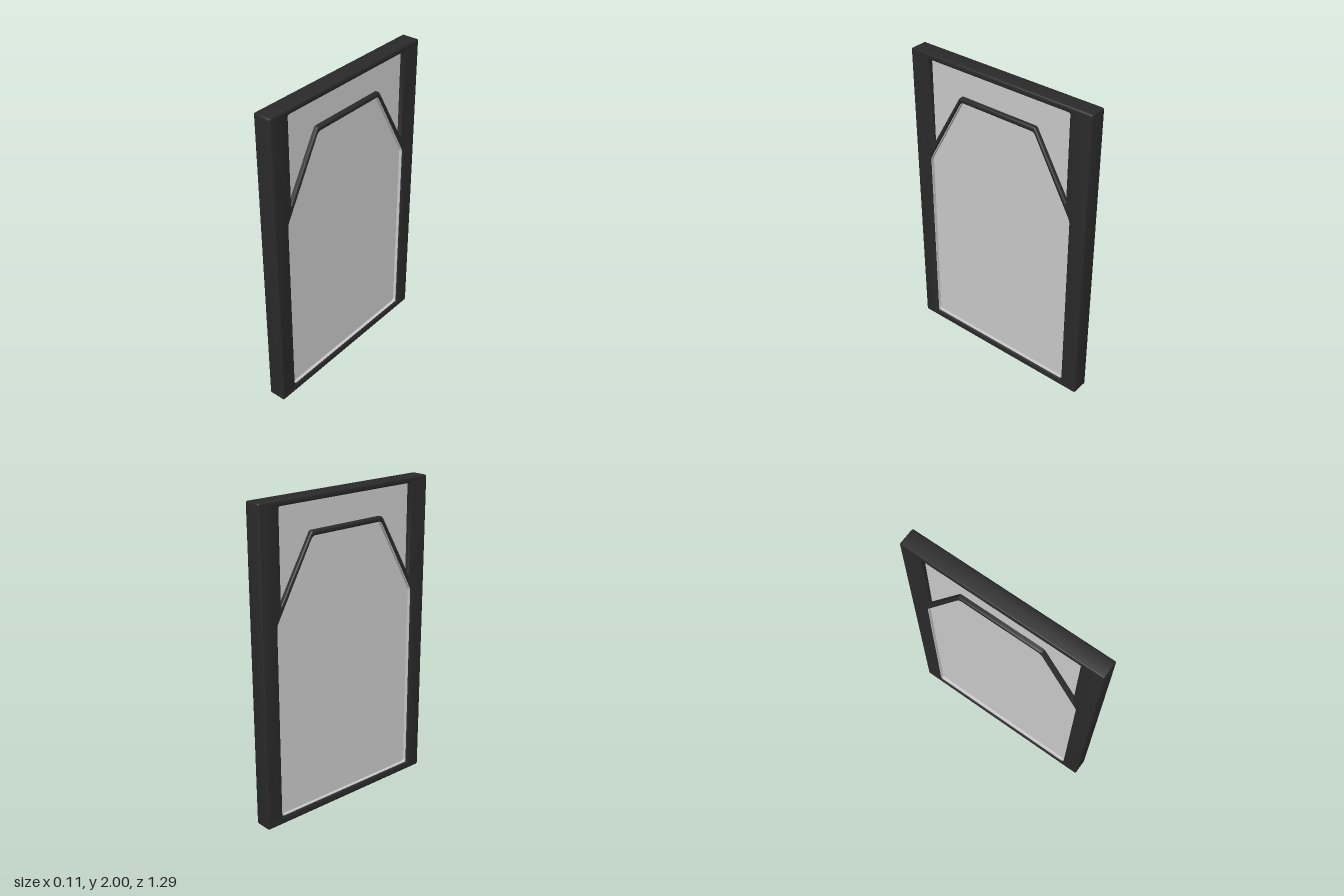
import * as THREE from 'three';
import { toCreasedNormals } from 'three/addons/utils/BufferGeometryUtils.js';

const DEPTH = 0.114;

// Closed outline through [z, y] corners, each corner rounded by r
function outline(points, r, Type = THREE.Shape) {
  const path = new Type();
  const pts = points.map(([z, y]) => new THREE.Vector2(z, y));
  pts.forEach((p, i) => {
    const prev = pts[(i + pts.length - 1) % pts.length];
    const next = pts[(i + 1) % pts.length];
    const a = prev.clone().sub(p).setLength(r).add(p);
    const b = next.clone().sub(p).setLength(r).add(p);
    if (i === 0) path.moveTo(a.x, a.y);
    else path.lineTo(a.x, a.y);
    path.quadraticCurveTo(p.x, p.y, b.x, b.y);
  });
  path.closePath();
  return path;
}

// Extrude a z/y outline along x, centred on x = 0
function slab(name, shape, thickness, bevel, color) {
  const geo = new THREE.ExtrudeGeometry(shape, {
    depth: thickness - 2 * bevel,
    curveSegments: 4,
    bevelEnabled: bevel > 0,
    bevelSize: bevel,
    bevelThickness: bevel,
    bevelOffset: -bevel,
    bevelSegments: 3,
  });
  geo.translate(0, 0, bevel - thickness / 2);
  geo.rotateY(-Math.PI / 2);
  const mesh = new THREE.Mesh(toCreasedNormals(geo, 0.7), new THREE.MeshStandardMaterial({ color }));
  mesh.name = name;
  return mesh;
}

// Mirror the +z half of an outline (listed bottom to top)
const mirrored = (half) => [...half, ...half.map(([z, y]) => [-z, y]).reverse()];

// Large lower opening with clipped top corners, grown outward by e
const lowerOpening = (e = 0) =>
  mirrored([[0.53 + e, 0.055 - e], [0.53 + e, 1.285 + e * 0.27], [0.265 + e * 0.58, 1.76 + e]]);

// Upper opening that wraps over the angled bar
const upperOpening = [
  [0.505, 1.965], [-0.505, 1.965], [-0.505, 1.395],
  [-0.275, 1.795], [0.275, 1.795], [0.505, 1.395],
];

export function createModel() {
  const group = new THREE.Group();
  group.name = 'windowPanel';
  const dark = 0x2a2a2a;
  const grey = 0xcccccc;

  // Frame and angled bar in one piece
  const frame = outline(mirrored([[0.645, 0], [0.645, 2]]), 0.012);
  frame.holes.push(outline(lowerOpening(0.004), 0.02, THREE.Path));
  frame.holes.push(outline(upperOpening, 0.012, THREE.Path));
  group.add(slab('frame', frame, DEPTH, 0.009, dark));

  // Thin lining inside the lower opening
  const lining = outline(lowerOpening(0.006), 0.02);
  lining.holes.push(outline(lowerOpening(), 0.02, THREE.Path));
  group.add(slab('lowerLining', lining, DEPTH - 0.016, 0, grey));

  // Recessed panes
  group.add(slab('lowerPane', outline(lowerOpening(0.003), 0.02), 0.06, 0, grey));
  group.add(slab('upperPane', outline(upperOpening, 0.012), 0.06, 0, grey));

  return group;
}
